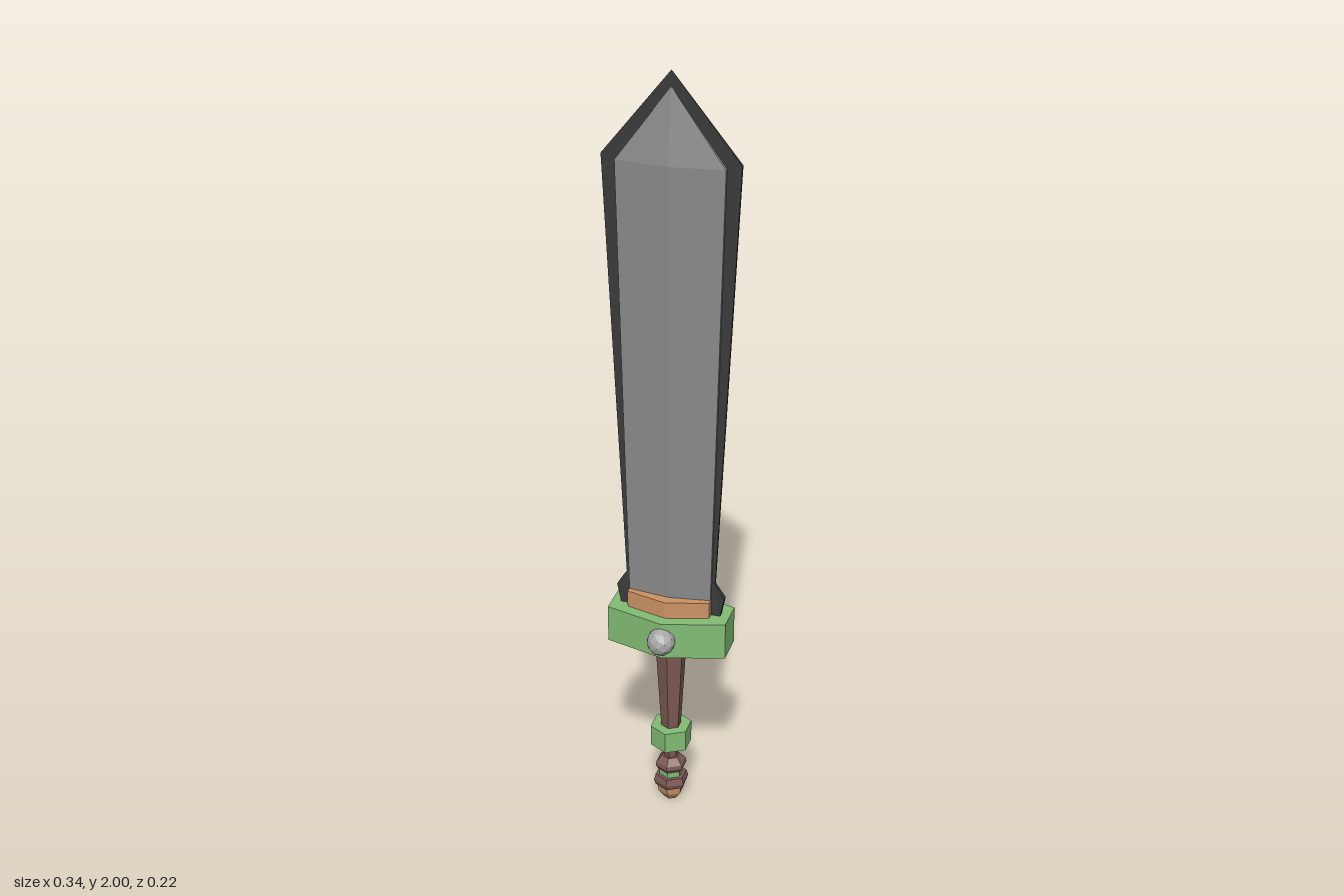
import * as THREE from 'three';

const mat = (color) => new THREE.MeshStandardMaterial({ color, flatShading: true, roughness: 0.8 });
const green = mat(0x83bd75), orange = mat(0xcc9466), brown = mat(0x7d5a55);
const steel = mat(0x8a8a8a), dark = mat(0x3a3a3a), stone = mat(0xa8a8a8);

function add(parent, name, geometry, material, y = 0, z = 0) {
  const mesh = new THREE.Mesh(geometry, material);
  mesh.name = name;
  mesh.position.set(0, y, z);
  parent.add(mesh);
  return mesh;
}

// Loft of six-sided sections [y, half width, side half depth, centre half depth]
function loft(sections) {
  const rings = sections.map(([y, w, e, c]) =>
    [[0, c], [w, e], [w, -e], [0, -c], [-w, -e], [-w, e]].map(([x, z]) => [x, y, z]));
  const pos = [];
  for (let r = 0; r < rings.length - 1; r++) {
    const a = rings[r], b = rings[r + 1];
    for (let i = 0; i < 6; i++) {
      const j = (i + 1) % 6;
      pos.push(...a[i], ...a[j], ...b[j], ...a[i], ...b[j], ...b[i]);
    }
  }
  const lo = rings[0], hi = rings[rings.length - 1];
  for (let i = 1; i < 5; i++) {
    pos.push(...lo[0], ...lo[i + 1], ...lo[i]);
    pos.push(...hi[0], ...hi[i], ...hi[i + 1]);
  }
  const g = new THREE.BufferGeometry();
  g.setAttribute('position', new THREE.Float32BufferAttribute(pos, 3));
  g.computeVertexNormals();
  return g;
}

// Thin cutting plate, thicker at the heel and fading out at the tip
function edgePlate() {
  const half = [[0.13, 0.58], [0.142, 0.64], [0.117, 0.68], [0.17, 1.79]];
  const outline = [...half, [0, 2], ...half.map(([x, y]) => [-x, y]).reverse()];
  const shape = new THREE.Shape(outline.map(([x, y]) => new THREE.Vector2(x, y)));
  const g = new THREE.ExtrudeGeometry(shape, { depth: 2, bevelEnabled: false });
  const p = g.attributes.position;
  for (let i = 0; i < p.count; i++) {
    const y = p.getY(i);
    const t = y < 0.65 ? 0.008 : y > 1.9 ? 0.001 : 0.004;
    p.setZ(i, (p.getZ(i) - 1) * t);
  }
  g.computeVertexNormals();
  return g;
}

export function createModel() {
  const model = new THREE.Group();
  model.name = 'sword';
  const body = new THREE.Group();
  body.name = 'swordBody';
  body.position.z = -0.02;
  model.add(body);

  // Blade
  add(body, 'bladeEdge', edgePlate(), dark);
  add(body, 'bladeCore', loft([
    [0.58, 0.106, 0.013, 0.028],
    [1.78, 0.134, 0.013, 0.028],
    [1.96, 0.001, 0.001, 0.001],
  ]), steel);

  // Guard and collar
  add(body, 'collar', loft([[0.58, 0.108, 0.027, 0.057], [0.635, 0.108, 0.027, 0.057]]), orange);
  add(body, 'guard', loft([[0.49, 0.156, 0.044, 0.089], [0.59, 0.156, 0.044, 0.089]]), green);
  add(model, 'guardGem', new THREE.IcosahedronGeometry(0.037, 1), stone, 0.54, 0.07);

  // Hexagonal handle parts: name, material, then [radius, y] from bottom to top
  const turned = [
    ['pommelCap', orange, [[0, 0], [0.018, 0], [0.034, 0.022], [0.039, 0.052], [0, 0.052]]],
    ['lowerRing', brown, [[0, 0.044], [0.042, 0.044], [0.047, 0.058], [0.042, 0.076], [0, 0.076]]],
    ['pommelBand', green, [[0, 0.07], [0.032, 0.07], [0.032, 0.1], [0, 0.1]]],
    ['upperRing', brown, [[0, 0.092], [0.034, 0.092], [0.042, 0.104], [0.04, 0.116], [0.024, 0.134], [0, 0.134]]],
    ['neck', brown, [[0, 0.12], [0.018, 0.12], [0.02, 0.18], [0, 0.18]]],
    ['handleNut', green, [[0, 0.174], [0.055, 0.174], [0.055, 0.232], [0, 0.232]]],
    ['grip', brown, [[0, 0.22], [0.026, 0.22], [0.042, 0.495], [0, 0.495]]],
  ];
  for (const [name, material, profile] of turned) {
    const points = profile.map(([r, y]) => new THREE.Vector2(r, y));
    add(body, name, new THREE.LatheGeometry(points, 6), material);
  }
  return model;
}
